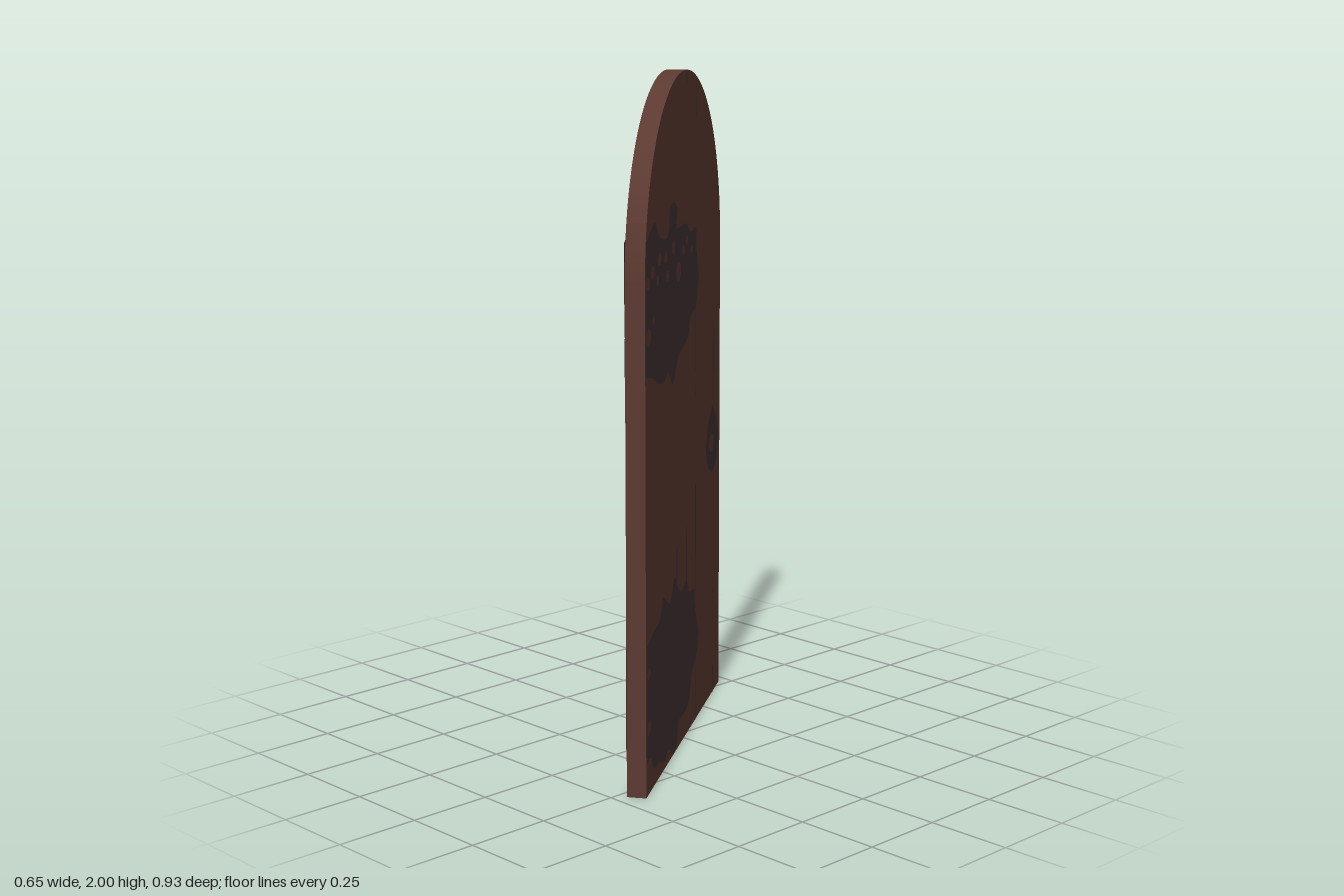
import * as THREE from 'three';

const HALF = 0.54, THICK = 0.056, SPRING = 1.46;

// Ragged hinge outlines: from the hinge edge round to the hinge edge (along door, height)
const UPPER = [
  [0.537, 1.564], [0.426, 1.607], [0.375, 1.57], [0.311, 1.548], [0.241, 1.559], [0.228, 1.622],
  [0.177, 1.638], [0.126, 1.617], [0.139, 1.564], [0.088, 1.559], [0.005, 1.559], [-0.071, 1.527],
  [-0.148, 1.532], [-0.154, 1.469], [-0.186, 1.384], [-0.148, 1.299], [-0.071, 1.278], [-0.033, 1.225],
  [0.03, 1.204], [0.107, 1.188], [0.184, 1.119], [0.248, 1.161], [0.311, 1.145], [0.388, 1.156],
  [0.452, 1.182], [0.537, 1.198],
];
const LOWER = [
  [0.537, 0.44], [0.439, 0.461], [0.362, 0.472], [0.324, 0.52], [0.273, 0.498], [0.222, 0.483],
  [0.165, 0.541], [0.12, 0.504], [0.069, 0.472], [-0.008, 0.483], [-0.052, 0.44], [-0.123, 0.424],
  [-0.142, 0.361], [-0.193, 0.27], [-0.161, 0.207], [-0.097, 0.175], [-0.046, 0.095], [0.031, 0.08],
  [0.107, 0.08], [0.133, 0.016], [0.197, 0.011], [0.248, 0.042], [0.311, 0.027], [0.375, 0.048],
  [0.452, 0.058], [0.49, 0.101], [0.537, 0.101],
];
// Gaps in the ironwork: along door, height, radius
const UPPER_GAPS = [
  [0.51, 1.45, 0.022], [0.45, 1.475, 0.022], [0.362, 1.5, 0.022], [0.388, 1.445, 0.018],
  [0.28, 1.495, 0.02], [0.26, 1.44, 0.018], [0.177, 1.51, 0.022], [0.107, 1.432, 0.034],
  [0.037, 1.485, 0.018], [-0.01, 1.51, 0.016], [-0.08, 1.475, 0.014], [0.505, 1.305, 0.028],
  [0.44, 1.34, 0.014],
];
const LOWER_GAPS = [[0.51, 0.355, 0.02], [0.51, 0.196, 0.024]];
// Cracks between planks on the back: along door, low end, high end
const CRACKS = [
  [-0.148, 0, 0.75], [-0.148, 1.02, 1.06], [-0.148, 1.1, 1.5], [-0.148, 1.86, 1.97],
  [-0.43, 0.92, 1.21], [-0.43, 0.24, 0.27], [-0.43, 0.29, 0.35], [-0.43, 0, 0.09],
  [-0.013, 0.45, 0.65], [-0.013, 1.96, 1.995], [0.127, 0.47, 0.62],
];

function hole(x, y, rx, ry = rx) {
  return new THREE.Path().absellipse(x, y, rx, ry, 0, Math.PI * 2, true);
}

function hingeShape(points, gaps) {
  const pts = points.map(([x, y]) => new THREE.Vector2(x, y));
  const shape = new THREE.Shape();
  shape.moveTo(pts[0].x, pts[0].y);
  shape.splineThru(pts.slice(1));
  shape.closePath();
  gaps.forEach(([x, y, r]) => shape.holes.push(hole(x, y, r, r * 0.85)));
  return shape;
}

function pullShape() {
  const shape = new THREE.Shape();
  shape.moveTo(-0.41, 0.945);
  shape.bezierCurveTo(-0.44, 0.93, -0.51, 0.88, -0.51, 0.82);
  shape.bezierCurveTo(-0.5, 0.76, -0.45, 0.73, -0.405, 0.73);
  shape.bezierCurveTo(-0.36, 0.74, -0.315, 0.77, -0.31, 0.82);
  shape.bezierCurveTo(-0.315, 0.88, -0.38, 0.93, -0.41, 0.945);
  shape.holes.push(hole(-0.398, 0.825, 0.036, 0.028));
  return shape;
}

export function createModel() {
  const wood = new THREE.MeshStandardMaterial({ color: 0x5c3a31 });
  wood.name = 'brown wood';
  const iron = new THREE.MeshStandardMaterial({ color: 0x423334, side: THREE.DoubleSide });
  iron.name = 'dark iron';

  const door = new THREE.Group();
  door.name = 'openDoor';
  const add = (name, geometry, material, z = 0) => {
    const mesh = new THREE.Mesh(geometry, material);
    mesh.name = name;
    mesh.position.z = z;
    door.add(mesh);
    return mesh;
  };

  // Round-topped slab
  const outline = new THREE.Shape();
  outline.moveTo(-HALF, 0);
  outline.lineTo(HALF, 0);
  outline.lineTo(HALF, SPRING);
  outline.absarc(0, SPRING, HALF, 0, Math.PI, false);
  outline.closePath();
  const slab = new THREE.ExtrudeGeometry(outline, { depth: THICK, bevelEnabled: false, curveSegments: 32 });
  add('doorSlab', slab, wood, -THICK / 2);

  // Painted ironwork, the same on both faces
  const ironwork = {
    upperHinge: hingeShape(UPPER, UPPER_GAPS),
    lowerHinge: hingeShape(LOWER, LOWER_GAPS),
    pull: pullShape(),
  };
  for (const [side, sign] of [['front', 1], ['back', -1]]) {
    for (const [part, shape] of Object.entries(ironwork)) {
      const segments = part === 'pull' ? 10 : 60;
      add(`${side} ${part}`, new THREE.ShapeGeometry(shape, segments), iron, sign * (THICK / 2 + 0.002));
    }
  }

  // Plank cracks on the back
  for (const [x, low, high] of CRACKS) {
    const crack = add('plankCrack', new THREE.PlaneGeometry(0.01, high - low), iron, -THICK / 2 - 0.0015);
    crack.position.x = x;
    crack.position.y = (low + high) / 2;
  }

  // Swung partly open
  door.rotation.y = -0.98;
  const model = new THREE.Group();
  model.name = 'archedDoor';
  model.add(door);
  return model;
}
